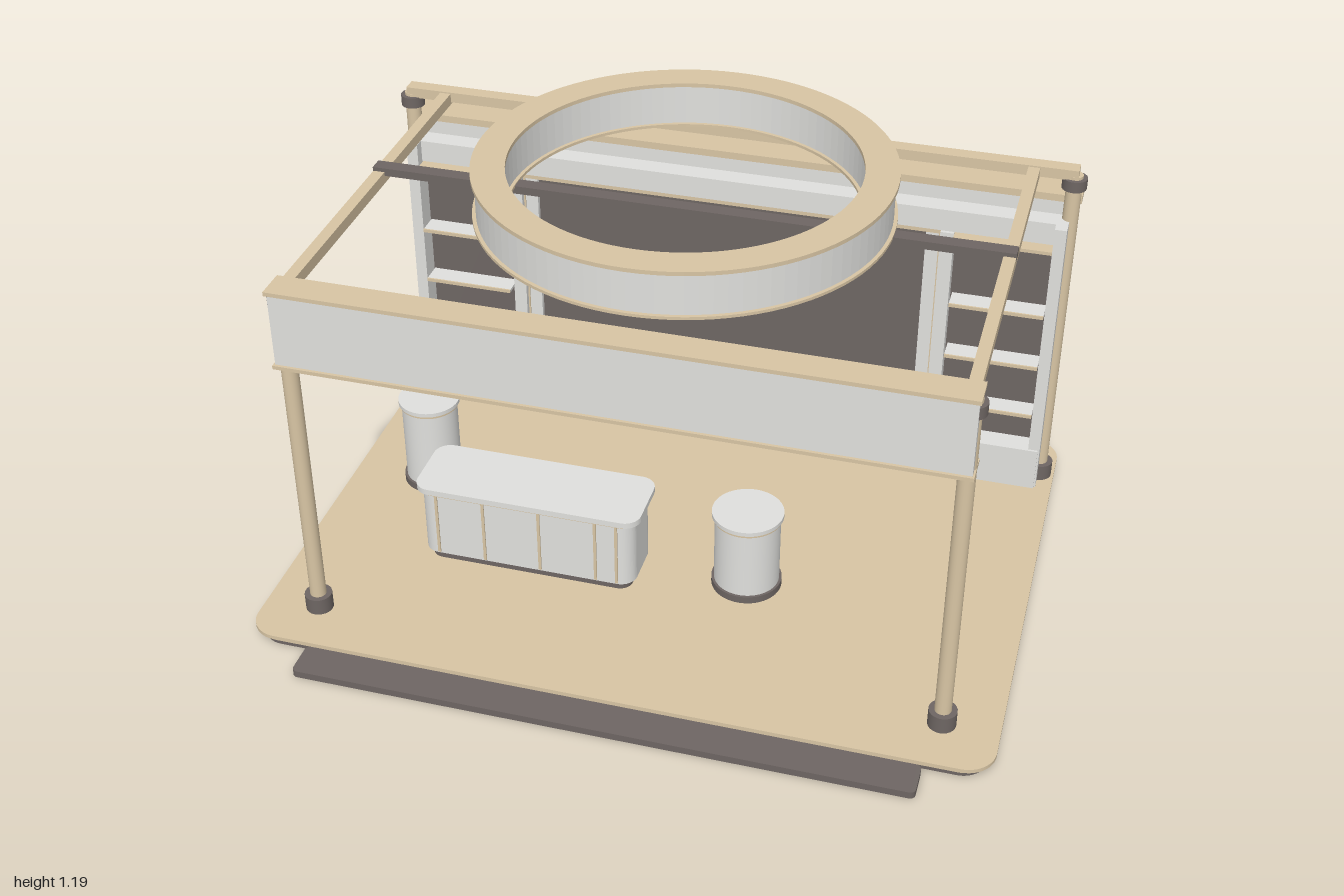
import * as THREE from 'three';

const white = new THREE.MeshStandardMaterial({ color: 0xe0e0dd });
white.name = 'white panel';
const tan = new THREE.MeshStandardMaterial({ color: 0xd8c5a4 });
tan.name = 'pale wood';
const dark = new THREE.MeshStandardMaterial({ color: 0x6e6663 });
dark.name = 'dark grey';

export function createModel() {
  const root = new THREE.Group();
  root.name = 'exhibitionStand';

  const add = (name, geo, mat) => {
    const m = new THREE.Mesh(geo, mat);
    m.name = name;
    root.add(m);
    return m;
  };
  // Box given by its extents
  const box = (name, mat, x0, x1, y0, y1, z0, z1) => {
    const m = add(name, new THREE.BoxGeometry(x1 - x0, y1 - y0, z1 - z0), mat);
    m.position.set((x0 + x1) / 2, (y0 + y1) / 2, (z0 + z1) / 2);
    return m;
  };
  const cyl = (name, mat, x, z, r, y0, y1, seg = 32) => {
    const m = add(name, new THREE.CylinderGeometry(r, r, y1 - y0, seg), mat);
    m.position.set(x, (y0 + y1) / 2, z);
    return m;
  };
  // Horizontal slab with rounded corners
  const slab = (name, mat, x0, x1, z0, z1, r, y0, y1) => {
    const s = new THREE.Shape();
    const a = -z1, b = -z0;
    s.moveTo(x0 + r, a);
    s.lineTo(x1 - r, a);
    s.absarc(x1 - r, a + r, r, -Math.PI / 2, 0);
    s.lineTo(x1, b - r);
    s.absarc(x1 - r, b - r, r, 0, Math.PI / 2);
    s.lineTo(x0 + r, b);
    s.absarc(x0 + r, b - r, r, Math.PI / 2, Math.PI);
    s.lineTo(x0, a + r);
    s.absarc(x0 + r, a + r, r, Math.PI, Math.PI * 1.5);
    const g = new THREE.ExtrudeGeometry(s, { depth: y1 - y0, bevelEnabled: false, curveSegments: 10 });
    g.rotateX(-Math.PI / 2);
    g.translate(0, y0, 0);
    return add(name, g, mat);
  };
  // Flat ring with square section
  const ring = (name, mat, ro, ri, y0, y1) => {
    const s = new THREE.Shape().absarc(0, 0, ro, 0, Math.PI * 2);
    s.holes.push(new THREE.Path().absarc(0, 0, ri, 0, Math.PI * 2, true));
    const g = new THREE.ExtrudeGeometry(s, { depth: y1 - y0, bevelEnabled: false, curveSegments: 48 });
    g.rotateX(-Math.PI / 2);
    g.translate(0, y0, -0.11);
    return add(name, g, mat);
  };

  // Platform and front step
  slab('platformBase', dark, -0.98, 0.98, -0.745, 0.655, 0.07, 0, 0.02);
  slab('platformEdge', tan, -0.99, 0.99, -0.755, 0.665, 0.075, 0.02, 0.031);
  slab('platformFloor', tan, -1, 1, -0.77, 0.675, 0.08, 0.031, 0.042);
  slab('frontStep', dark, -0.83, 0.825, 0.665, 0.765, 0.015, 0, 0.02);

  // Back wall
  box('wallPlinth', dark, -0.965, 0.965, 0.042, 0.08, -0.705, -0.6);
  box('backWall', white, -0.97, 0.97, 0.08, 0.947, -0.71, -0.62);
  box('wallCap', tan, -0.98, 0.98, 0.947, 0.968, -0.718, -0.615);

  // Central screen and its surround
  box('screen', dark, -0.575, 0.57, 0.18, 0.825, -0.62, -0.585);
  box('screenLedge', white, -0.62, 0.62, 0.042, 0.19, -0.62, -0.565);
  box('screenHeader', white, -0.93, 0.93, 0.84, 0.905, -0.62, -0.56);
  box('screenTopTrim', tan, -0.62, 0.62, 0.826, 0.84, -0.62, -0.565);

  // Shelf bays at both ends of the wall
  for (const s of [-1, 1]) {
    const side = (name, mat, a, b, ...rest) =>
      box(name, mat, Math.min(a * s, b * s), Math.max(a * s, b * s), ...rest);
    side('screenJamb', white, 0.57, 0.61, 0.19, 0.826, -0.62, -0.57);
    side('bayInnerPanel', white, 0.612, 0.65, 0.17, 0.84, -0.62, -0.55);
    side('jambTrim', tan, 0.607, 0.614, 0.19, 0.84, -0.62, -0.566);
    side('bayOuterPanel', white, 0.922, 0.955, 0.042, 0.905, -0.62, -0.53);
    side('bayBack', dark, 0.65, 0.922, 0.17, 0.84, -0.62, -0.59);
    side('bayCabinet', white, 0.62, 0.95, 0.042, 0.173, -0.62, -0.523);
    for (const y of [0.29, 0.455, 0.625]) {
      side('shelf', white, 0.655, 0.92, y - 0.005, y + 0.004, -0.6, -0.528);
      side('shelfLip', tan, 0.655, 0.92, y - 0.005, y + 0.005, -0.528, -0.523);
    }
    side('bayTopTrim', tan, 0.65, 0.922, 0.826, 0.836, -0.6, -0.525);
  }

  // Posts with dark collars
  for (const s of [-1, 1]) {
    for (const [x, z] of [[0.85, 0.527], [0.955, -0.605]]) {
      cyl('post', tan, x * s, z, 0.022, 0.042, 1.04, 24);
      cyl('postFoot', dark, x * s, z, 0.037, 0.042, 0.09, 24);
      cyl('postCollar', dark, x * s, z, 0.034, 1.0, 1.032, 24);
    }
    box('sideBeam', tan, s * 0.845 - 0.016, s * 0.845 + 0.016, 1.024, 1.056, -0.6, 0.53);
  }
  box('rearBeam', tan, -0.965, 0.965, 1.03, 1.06, -0.628, -0.585);
  box('crossBeam', dark, -0.862, 0.862, 1.045, 1.067, -0.13, -0.09);

  // Front fascia
  box('fascia', white, -0.867, 0.867, 0.85, 1.052, 0.498, 0.566);
  box('fasciaTopTrim', tan, -0.872, 0.872, 1.052, 1.063, 0.49, 0.574);
  box('fasciaBottomTrim', tan, -0.872, 0.872, 0.84, 0.85, 0.49, 0.574);

  // Overhead ring
  ring('ringBody', white, 0.54, 0.47, 1.07, 1.183);
  ring('ringTopTrim', tan, 0.55, 0.46, 1.183, 1.194);
  ring('ringBottomTrim', tan, 0.55, 0.46, 1.062, 1.07);

  // Reception counter with thin wood strips
  slab('counterBase', dark, -0.64, -0.06, 0.08, 0.24, 0.035, 0.042, 0.07);
  slab('counterBody', white, -0.655, -0.045, 0.065, 0.255, 0.045, 0.07, 0.268);
  slab('counterTrim', tan, -0.66, -0.035, 0.06, 0.26, 0.045, 0.268, 0.276);
  slab('counterTop', white, -0.668, -0.028, 0.052, 0.268, 0.045, 0.276, 0.293);
  for (const x of [-0.605, -0.47, -0.31, -0.15, -0.09]) {
    box('counterStripFront', tan, x - 0.004, x + 0.004, 0.075, 0.268, 0.254, 0.259);
  }

  // Round display stands
  for (const [x, z, r, h] of [[0.24, 0.113, 0.09, 0.285], [-0.765, -0.115, 0.08, 0.322]]) {
    cyl('standBase', dark, x, z, r + 0.007, 0.042, 0.063, 48);
    cyl('standBody', white, x, z, r, 0.063, h - 0.02, 48);
    cyl('standTrim', tan, x, z, r + 0.004, h - 0.02, h - 0.012, 48);
    cyl('standTop', white, x, z, r + 0.008, h - 0.012, h, 48);
  }
  return root;
}
